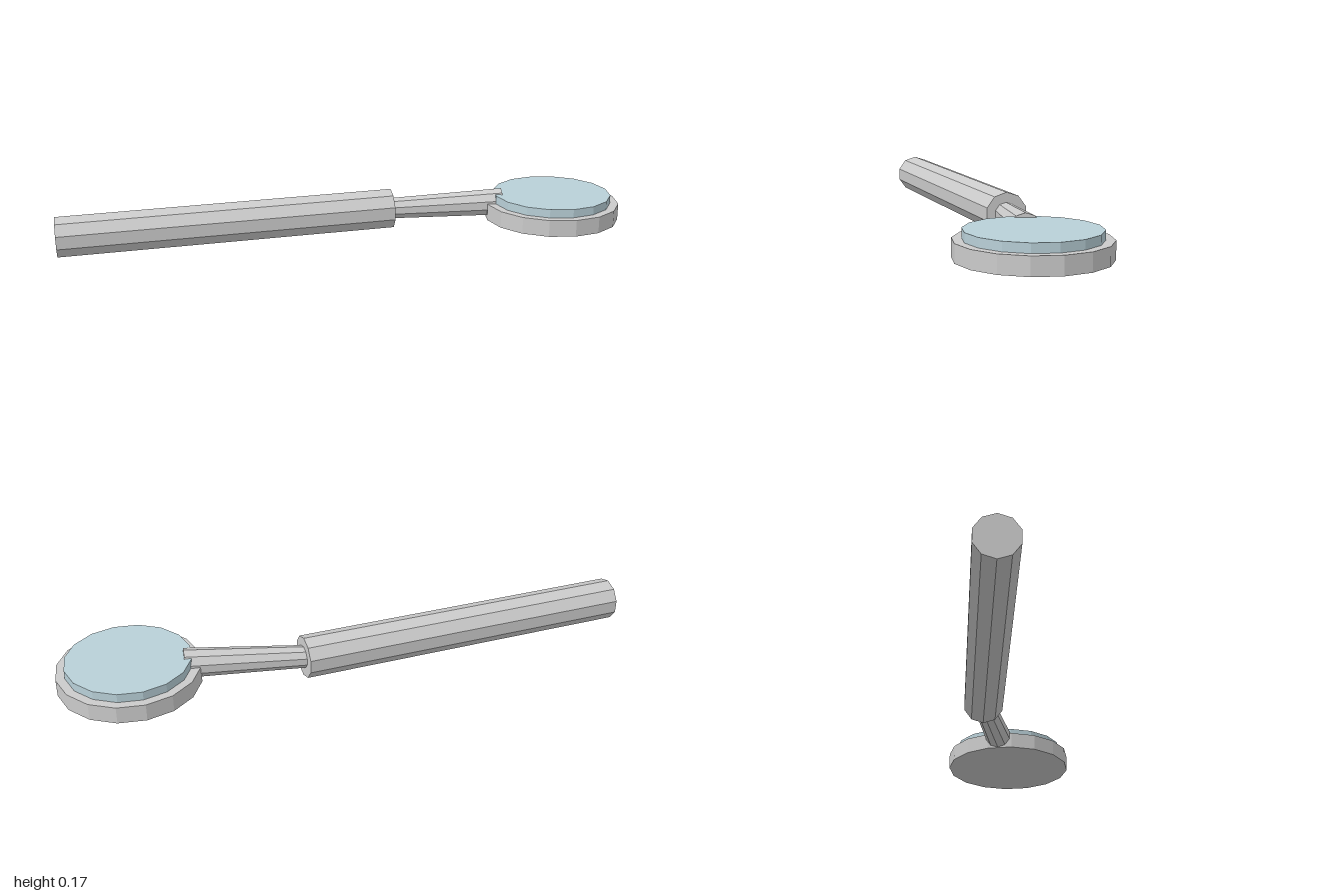
import * as THREE from 'three';

const grey = new THREE.MeshStandardMaterial({ color: 0xcccccc, flatShading: true });
const glass = new THREE.MeshStandardMaterial({ color: 0xb9d0d8, flatShading: true });

// Upright disc standing between two heights
function disc(name, radius, y0, y1, material) {
  const mesh = new THREE.Mesh(new THREE.CylinderGeometry(radius, radius, y1 - y0, 16), material);
  mesh.name = name;
  mesh.position.set(0.76, (y0 + y1) / 2, 0);
  return mesh;
}

// Ten-sided rod running from point a to point b, with a ridge on top
function rod(name, a, b, ra, rb) {
  const dir = b.clone().sub(a);
  const geo = new THREE.CylinderGeometry(rb, ra, dir.length(), 10);
  geo.rotateX(Math.PI / 2); // axis along +z, a vertex pointing down
  const mesh = new THREE.Mesh(geo, grey);
  mesh.name = name;
  mesh.position.copy(a).add(b).multiplyScalar(0.5);
  mesh.lookAt(b);
  return mesh;
}

export function createModel() {
  const group = new THREE.Group();
  const V = (x, y, z) => new THREE.Vector3(x, y, z);

  // Round head with a raised glass disc
  group.add(disc('headRim', 0.24, 0.066, 0.125, grey));
  group.add(disc('glassDisc', 0.21, 0.12, 0.155, glass));

  // Long grip, slightly tilted, and the flaring neck that joins it to the head
  group.add(rod('handle', V(-0.999, 0.073, -0.12), V(0.19, 0.097, -0.12), 0.073, 0.073));
  group.add(rod('neck', V(0.17, 0.096, -0.122), V(0.585, 0.12, -0.042), 0.038, 0.05));
  return group;
}
